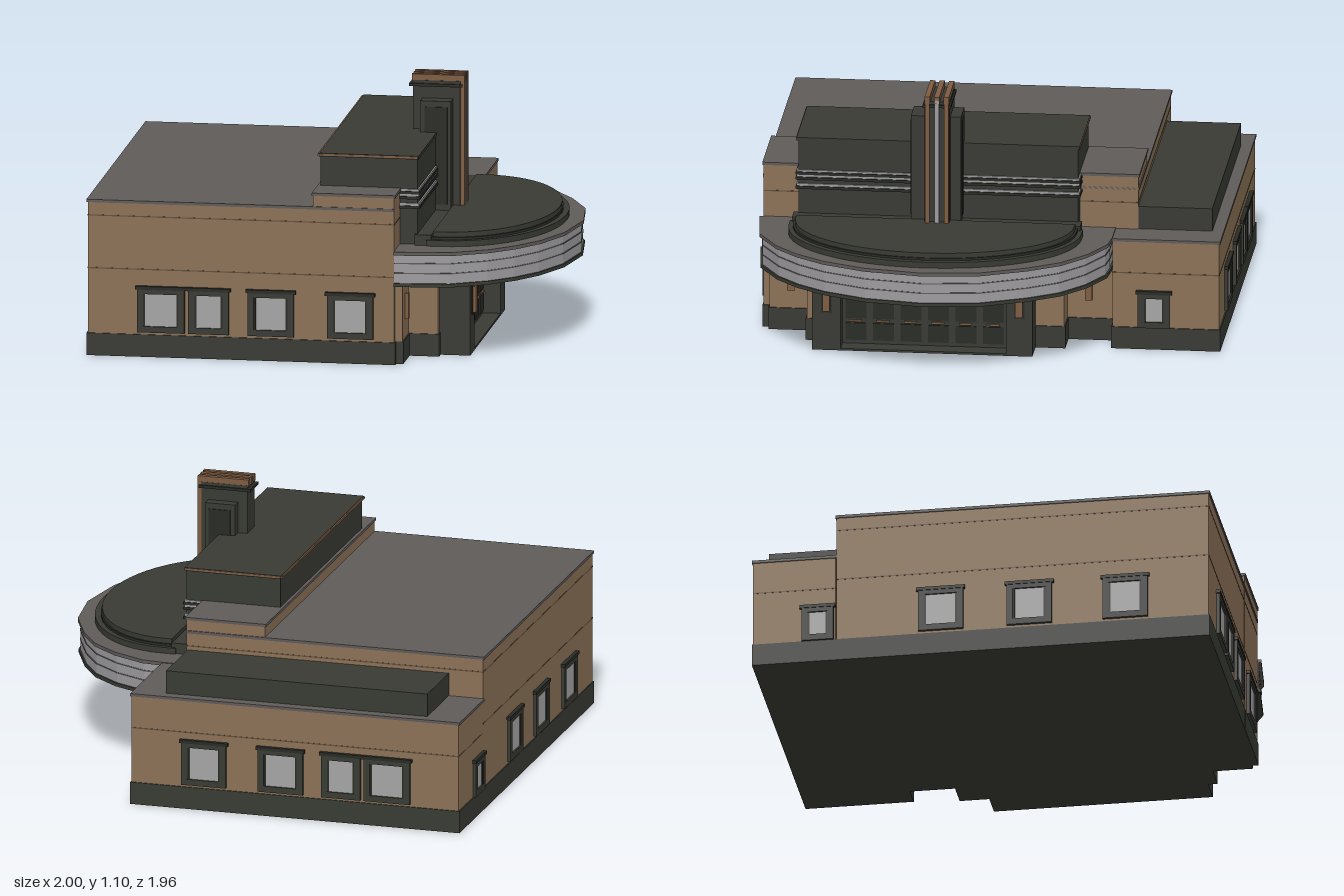
import * as THREE from 'three';

const mat = (name, color) => {
  const m = new THREE.MeshStandardMaterial({ color });
  m.name = name;
  return m;
};

export function createModel() {
  const root = new THREE.Group();
  root.name = 'theatreBuilding';
  const tan = mat('tan plaster', 0x8b7156);
  const dark = mat('dark green stone', 0x383a33);
  const trim = mat('black trim', 0x292b26);
  const roof = mat('grey roof', 0x5f5b59);
  const light = mat('pale fascia', 0x9d9b9e);
  const glass = mat('window glass', 0xa5a5a6);
  const copper = mat('copper trim', 0x7d5c42);
  const groove = mat('wall groove', 0x614e3b);

  const box = (name, m, x0, x1, y0, y1, z0, z1) => {
    const mesh = new THREE.Mesh(new THREE.BoxGeometry(x1 - x0, y1 - y0, z1 - z0), m);
    mesh.position.set((x0 + x1) / 2, (y0 + y1) / 2, (z0 + z1) / 2);
    mesh.name = name;
    root.add(mesh);
    return mesh;
  };

  // Plastered block with stone plinth, roof slab and groove lines
  const block = (name, x0, x1, z0, z1, h, grooves = []) => {
    const e = 0.005;
    box(name + 'Plinth', dark, x0 - e, x1 + e, 0.005, 0.1, z0 - e, z1 + e);
    box(name + 'Walls', tan, x0, x1, 0.1, h - 0.012, z0, z1);
    box(name + 'Roof', roof, x0 - e, x1 + e, h - 0.012, h, z0 - e, z1 + e);
    for (const y of grooves) box(name + 'Groove', groove, x0 - 0.001, x1 + 0.001, y, y + 0.005, z0 - 0.001, z1 + 0.001);
  };
  block('auditorium', -0.98, 0.31, -0.615, 0.957, 0.67, [0.375, 0.6]);
  block('frontHall', -0.028, 0.315, -0.615, 0.958, 0.728, [0.375, 0.6]);
  block('rearWing', -0.98, 0.447, -0.968, -0.62, 0.487, [0.335]);
  block('wingCorner', 0.3, 0.447, -0.63, -0.52, 0.487, [0.335]);
  box('rearRoofBox', dark, -0.83, 0.31, 0.48, 0.585, -0.925, -0.6);

  // Upper hall with pale bands wrapping its exposed front
  box('upperHall', dark, -0.02, 0.39, 0.48, 0.855, -0.37, 0.805);
  box('upperHallCoping', dark, -0.025, 0.395, 0.853, 0.867, -0.377, 0.812);
  for (const [z0, z1] of [[-0.38, -0.374], [0.809, 0.815]])
    box('copingEdge', copper, -0.022, 0.392, 0.857, 0.865, z0, z1);
  box('copingEdge', copper, -0.031, -0.024, 0.857, 0.865, -0.377, 0.812);
  for (const [y, h] of [[0.655, 0.01], [0.695, 0.013], [0.717, 0.008]]) {
    box('hallBand', light, 0.31, 0.396, y, y + h, -0.376, 0.811);
    box('hallBandShadow', trim, 0.31, 0.401, y - 0.012, y, -0.38, 0.815);
  }

  // Central pylon: stepped stone core with copper-edged fins
  box('pylonShoulder', dark, 0.325, 0.455, 0.48, 1.0, 0.115, 0.325);
  box('pylonPanel', trim, 0.345, 0.44, 0.56, 0.975, 0.111, 0.329);
  box('pylonCore', dark, 0.285, 0.485, 0.48, 1.075, 0.16, 0.265);
  box('pylonCollar', trim, 0.27, 0.495, 1.05, 1.062, 0.153, 0.272);
  for (const z of [0.172, 0.212, 0.252]) {
    const m = z === 0.212 ? light : copper;
    box('pylonFin', m, 0.484, 0.503, 0.545, 1.085, z - 0.009, z + 0.009);
    box('pylonFinTop', copper, 0.28, 0.503, 1.07, 1.1, z - 0.011, z + 0.011);
  }

  // Faceted curved canopy, stacked from slabs of one outline
  const outline = [[0.315, 0.975], [0.55, 0.95], [0.7, 0.865], [0.8, 0.77], [0.885, 0.65], [0.96, 0.47], [1, 0.22],
    [0.97, -0.02], [0.885, -0.21], [0.8, -0.34], [0.68, -0.44], [0.54, -0.51], [0.445, -0.52], [0.315, -0.52]];
  const slab = (name, m, pts, y0, y1) => {
    const shape = new THREE.Shape(pts.map(([x, z]) => new THREE.Vector2(x, -z)));
    const geo = new THREE.ExtrudeGeometry(shape, { depth: y1 - y0, bevelEnabled: false });
    geo.rotateX(-Math.PI / 2);
    const mesh = new THREE.Mesh(geo, m);
    mesh.position.y = y0;
    mesh.name = name;
    root.add(mesh);
  };
  const scaled = s => outline.map(([x, z]) => [0.315 + (x - 0.315) * s, 0.225 + (z - 0.225) * s]);
  slab('canopyLights', dark, scaled(0.92), 0.332, 0.345);
  slab('canopySoffit', dark, scaled(0.995), 0.34, 0.355);
  slab('canopyFascia', light, scaled(0.985), 0.355, 0.475);
  for (const y of [0.395, 0.437]) slab('fasciaLine', roof, scaled(0.988), y, y + 0.005);
  slab('canopyRoof', roof, outline, 0.475, 0.49);

  // Half-round roof drum in steps
  const drum = (name, m, x0, rx, rz, y0, y1) => {
    const pts = [[x0, 0.22 + rz]];
    for (let i = 0; i <= 28; i++) {
      const a = Math.PI / 2 - (Math.PI * i) / 28;
      pts.push([0.49 + rx * Math.cos(a), 0.22 + rz * Math.sin(a)]);
    }
    pts.push([x0, 0.22 - rz]);
    slab(name, m, pts, y0, y1);
  };
  drum('drumBase', dark, 0.43, 0.44, 0.615, 0.488, 0.515);
  drum('drumGroove', trim, 0.44, 0.415, 0.595, 0.515, 0.525);
  drum('drumTop', dark, 0.455, 0.41, 0.585, 0.525, 0.546);
  box('drumLink', dark, 0.38, 0.45, 0.48, 0.535, -0.385, 0.825);

  // Entrance steps out from the hall beneath the canopy
  const bay = (x, z0, z1) => {
    box('bayPlinth', dark, 0.3, x + 0.005, 0.005, 0.1, z0 - 0.005, z1 + 0.005);
    box('bayWall', tan, 0.3, x, 0.1, 0.342, z0, z1);
  };
  bay(0.345, -0.52, 0.93);
  bay(0.47, -0.32, 0.76);
  for (const [z0, z1] of [[0.605, 0.725], [-0.2, -0.09]]) {
    const c = (z0 + z1) / 2;
    box('entrancePier', dark, 0.45, 0.6, 0.005, 0.342, z0, z1);
    box('pierLampPlate', trim, 0.6, 0.604, 0.17, 0.3, c - 0.022, c + 0.022);
    box('pierLamp', copper, 0.603, 0.618, 0.18, 0.29, c - 0.015, c + 0.015);
  }
  for (const z of [-0.41, 0.84]) box('wallLamp', copper, 0.345, 0.36, 0.18, 0.29, z - 0.015, z + 0.015);
  box('entranceFloor', dark, 0.46, 0.6, 0.005, 0.014, -0.1, 0.61);
  box('doorWall', dark, 0.46, 0.525, 0.01, 0.342, -0.1, 0.61);
  box('doorFrieze', tan, 0.524, 0.54, 0.28, 0.325, -0.09, 0.605);
  box('doorLintel', copper, 0.524, 0.548, 0.268, 0.28, -0.09, 0.605);
  for (let i = 0; i < 6; i++) {
    const z = -0.085 + i * 0.1155;
    box('doorLeafUpper', trim, 0.524, 0.53, 0.125, 0.25, z + 0.012, z + 0.1);
    box('doorLeafLower', trim, 0.524, 0.53, 0.03, 0.105, z + 0.012, z + 0.1);
    box('doorHandle', copper, 0.53, 0.537, 0.112, 0.12, z + 0.03, z + 0.085);
  }

  // Windows: glass plate inside a raised four-bar frame, then turned to face its wall
  const windowAt = (x, y, z, w, h, turn) => {
    const g = new THREE.Group();
    g.name = 'window';
    const part = (name, m, pw, ph, pd, px, py, pz) => {
      const mesh = new THREE.Mesh(new THREE.BoxGeometry(pw, ph, pd), m);
      mesh.position.set(px, py, pz);
      mesh.name = name;
      g.add(mesh);
    };
    const t = 0.026;
    part('windowGlass', glass, w - t, h - t, 0.006, 0, 0, 0.003);
    for (const s of [-1, 1]) {
      part('windowJamb', dark, t, h, 0.016, s * (w - t) / 2, 0, 0.006);
      part('windowRail', dark, w, t, 0.016, 0, s * (h - t) / 2, 0.006);
      part('windowInnerJamb', trim, 0.008, h - 2 * t, 0.01, s * (w / 2 - t - 0.004), 0, 0.005);
    }
    part('windowHood', trim, w + 0.016, 0.014, 0.02, 0, h / 2, 0.007);
    g.position.set(x, y, z);
    g.rotation.y = turn;
    root.add(g);
  };
  for (const [x, w] of [[-0.67, 0.2], [-0.468, 0.17], [-0.205, 0.195], [0.13, 0.195]]) {
    windowAt(x, 0.206, 0.958, w, 0.19, 0);
    windowAt(x, 0.206, -0.968, w, 0.19, Math.PI);
  }
  for (const z of [-0.175, 0.2, 0.605]) windowAt(-0.98, 0.206, z, 0.19, 0.19, -Math.PI / 2);
  windowAt(-0.98, 0.178, -0.695, 0.135, 0.155, -Math.PI / 2);
  windowAt(0.447, 0.178, -0.695, 0.135, 0.155, Math.PI / 2);

  // Settle on the ground plane
  root.children.forEach(c => { c.position.y -= 0.005; });
  return root;
}
